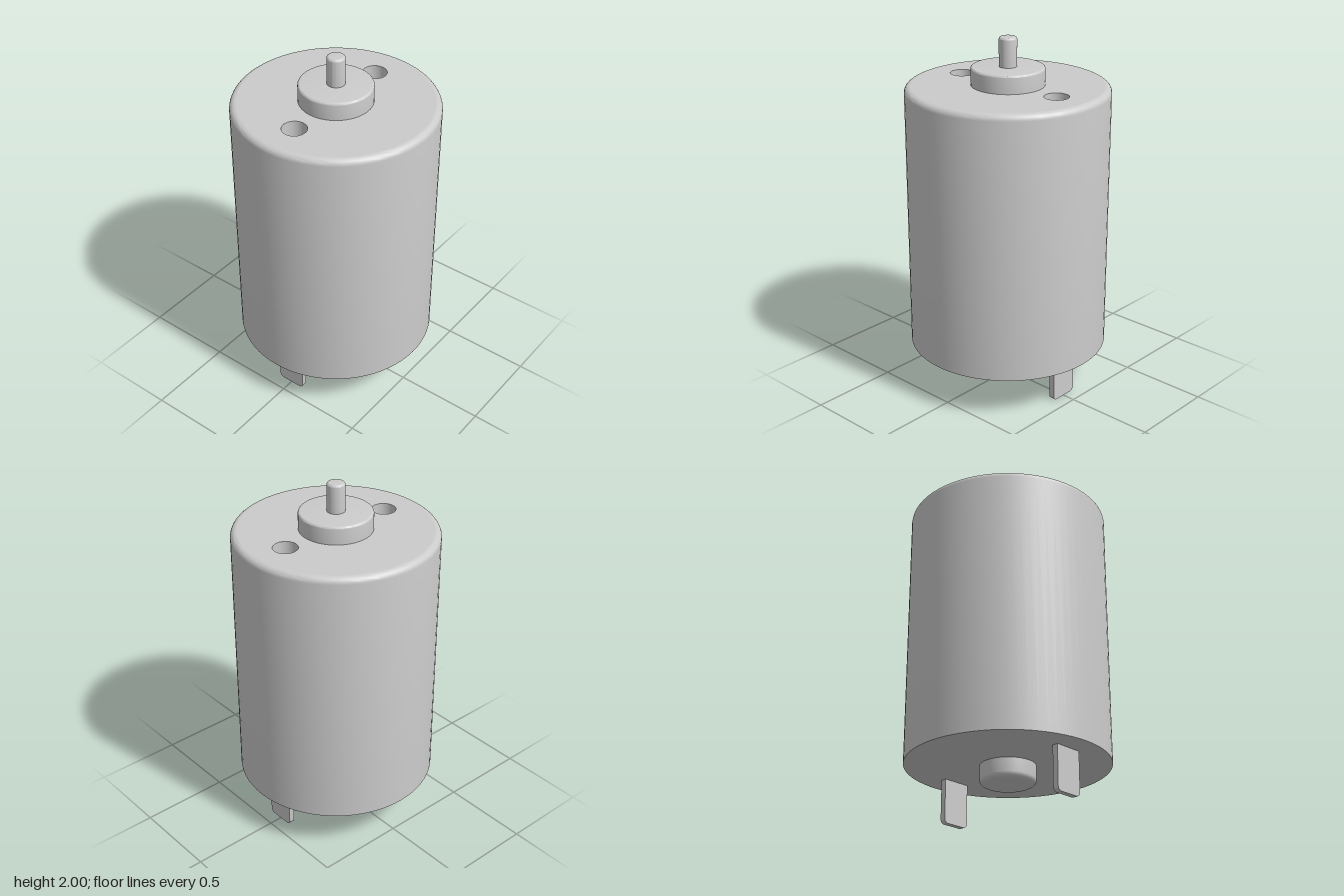
import * as THREE from 'three';
import { toCreasedNormals } from 'three/addons/utils/BufferGeometryUtils.js';

const SEGMENTS = 72;
const BODY_R = 0.557, BODY_BOTTOM = 0.245, BODY_TOP = 1.74, BODY_FILLET = 0.035;
const HOLE_R = 0.067, HOLE_X = 0.343, HOLE_DEPTH = 0.15;

const grey = new THREE.MeshStandardMaterial({ color: 0xcccccc });

function part(name, geometry) {
  const mesh = new THREE.Mesh(geometry, grey);
  mesh.name = name;
  return mesh;
}

// Turned part from [radius, y] pairs; listed bottom to top for outward faces
function turned(name, points, segments = SEGMENTS) {
  const profile = points.map(([r, y]) => new THREE.Vector2(r, y));
  return part(name, toCreasedNormals(new THREE.LatheGeometry(profile, segments), 0.6));
}

// Quarter-round profile points about (cx, cy), from angle a0 to a0 + 90 degrees
function fillet(cx, cy, r, a0, steps = 6) {
  return Array.from({ length: steps + 1 }, (_, i) => {
    const a = a0 + (i / steps) * Math.PI / 2;
    return [cx + r * Math.cos(a), cy + r * Math.sin(a)];
  });
}

// Cylinder standing on an open base with a rounded top edge
function roundedBoss(name, radius, bottom, top, f) {
  return turned(name, [[radius, bottom], ...fillet(radius - f, top - f, f, 0), [0, top]]);
}

export function createModel() {
  const motor = new THREE.Group();
  motor.name = 'electricMotor';

  // Can: flat base, straight wall, rounded upper rim
  const rim = BODY_R - BODY_FILLET;
  motor.add(turned('body', [
    [0, BODY_BOTTOM], [BODY_R, BODY_BOTTOM],
    ...fillet(rim, BODY_TOP - BODY_FILLET, BODY_FILLET, 0),
  ]));

  // Top face, pierced by two mounting holes
  const face = new THREE.Shape().absarc(0, 0, rim, 0, Math.PI * 2);
  for (const side of [-1, 1]) {
    face.holes.push(new THREE.Path().absarc(side * HOLE_X, 0, HOLE_R, 0, Math.PI * 2, true));
  }
  const top = part('topFace', new THREE.ShapeGeometry(face, SEGMENTS / 2).rotateX(-Math.PI / 2));
  top.position.y = BODY_TOP;
  motor.add(top);

  // Bearing housings and output shaft
  motor.add(roundedBoss('frontBearing', 0.2, BODY_TOP, 1.84, 0.012));
  motor.add(roundedBoss('shaft', 0.049, 1.84, 2, 0.012));
  motor.add(turned('rearBearing', [
    [0, 0.14], ...fillet(0.152 - 0.03, 0.17, 0.03, -Math.PI / 2), [0.152, BODY_BOTTOM],
  ]));

  // Terminal tab outline with rounded lower corners
  const w = 0.083, r = 0.025, thickness = 0.033;
  const tab = new THREE.Shape();
  tab.moveTo(-w, BODY_BOTTOM);
  tab.lineTo(-w, r);
  tab.absarc(-w + r, r, r, Math.PI, Math.PI * 1.5);
  tab.absarc(w - r, r, r, Math.PI * 1.5, Math.PI * 2);
  tab.lineTo(w, BODY_BOTTOM);
  const tabGeometry = toCreasedNormals(
    new THREE.ExtrudeGeometry(tab, { depth: thickness, bevelEnabled: false, curveSegments: 6 })
      .translate(0, 0, -thickness / 2).rotateY(Math.PI / 2), 0.6);

  for (const [side, label] of [[-1, 'right'], [1, 'left']]) {
    // Blind hole, listed top to bottom so its faces point inward
    const hole = turned(label + 'MountingHole', [
      [HOLE_R, BODY_TOP], [HOLE_R, BODY_TOP - HOLE_DEPTH], [0, BODY_TOP - HOLE_DEPTH],
    ], SEGMENTS / 2);
    hole.position.x = side * HOLE_X;
    const terminal = part(label + 'Terminal', tabGeometry);
    terminal.position.x = side * 0.41;
    motor.add(hole, terminal);
  }
  return motor;
}
